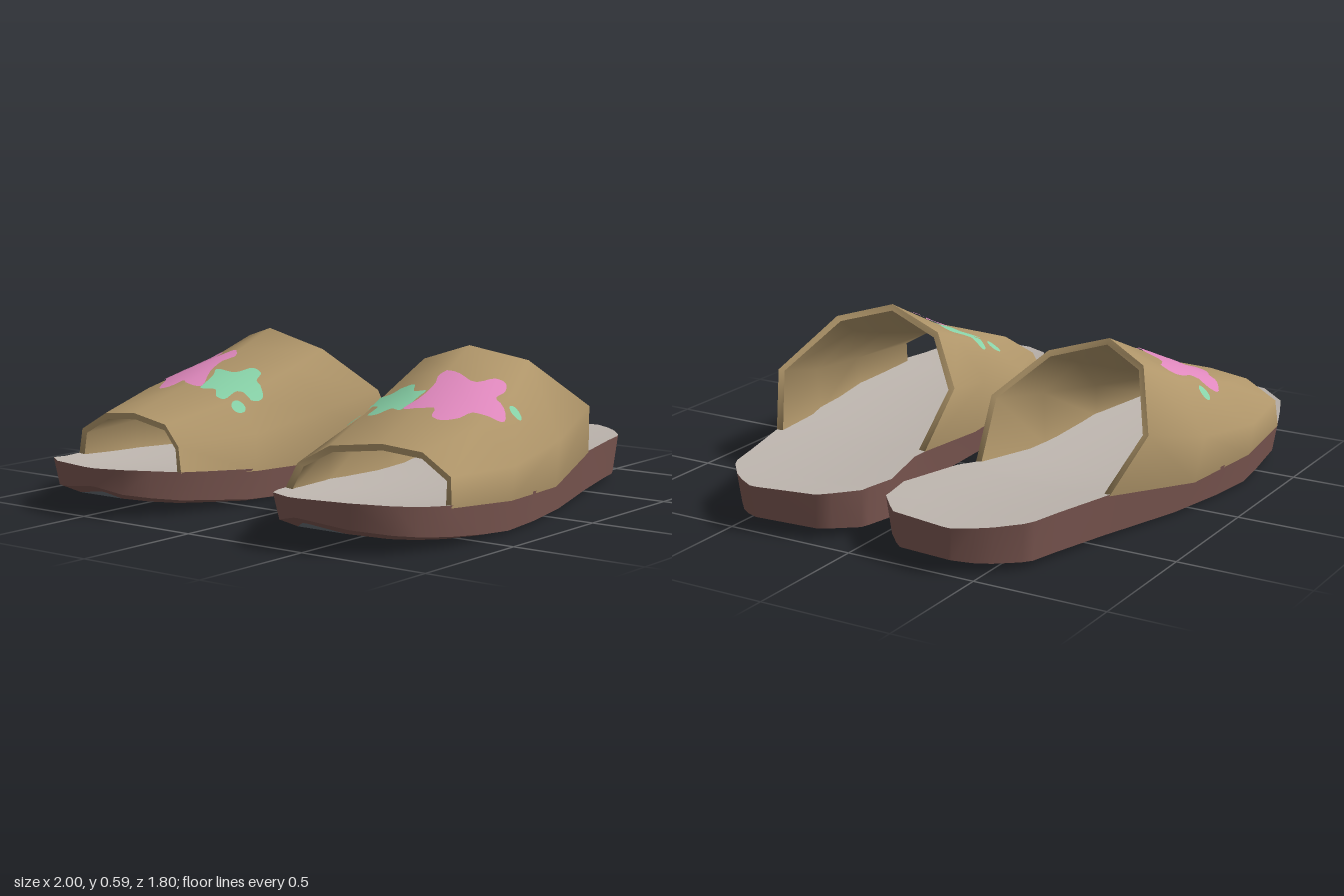
import * as THREE from 'three';

const V = (x, y, z) => new THREE.Vector3(x, y, z);
const mat = (name, color, side = THREE.FrontSide) => {
  const m = new THREE.MeshStandardMaterial({ color, side });
  m.name = name;
  return m;
};

// Skin between rows of points; closed joins each row's last point to its first
function loft(rows, closed = false) {
  const n = rows[0].length, index = [];
  for (let i = 0; i < rows.length - 1; i++) {
    for (let j = 0; j < (closed ? n : n - 1); j++) {
      const k = (j + 1) % n;
      const a = i * n + j, b = i * n + k, c = b + n, d = a + n;
      index.push(a, b, d, b, c, d);
    }
  }
  const g = new THREE.BufferGeometry().setFromPoints(rows.flat());
  g.setIndex(index);
  g.computeVertexNormals();
  return g;
}

function mirrorZ(source) {
  const g = source.clone();
  for (const name of ['position', 'normal']) {
    const a = g.attributes[name];
    for (let i = 0; i < a.count; i++) a.setZ(i, -a.getZ(i));
  }
  const ix = g.index.array;
  for (let i = 0; i < ix.length; i += 3) [ix[i], ix[i + 1]] = [ix[i + 1], ix[i]];
  return g;
}

// Piecewise linear value along the shoe
function heightAt(keys, x) {
  for (let i = 1; i < keys.length; i++) {
    const [x0, y0] = keys[i - 1], [x1, y1] = keys[i];
    if (x <= x1) return y0 + (y1 - y0) * (x - x0) / (x1 - x0);
  }
  return keys[keys.length - 1][1];
}

// Sole stations from toe to heel: x, inner z, outer z
const STATIONS = [
  [-1, 0.44, 0.49], [-0.96, 0.345, 0.67], [-0.87, 0.29, 0.78], [-0.77, 0.24, 0.82],
  [-0.66, 0.205, 0.86], [-0.48, 0.16, 0.875], [-0.34, 0.155, 0.885], [-0.15, 0.15, 0.86],
  [0.1, 0.14, 0.81], [0.34, 0.11, 0.74], [0.44, 0.09, 0.71], [0.69, 0.025, 0.645],
  [0.8, 0.045, 0.62], [0.84, 0.05, 0.6], [0.92, 0.12, 0.53], [0.96, 0.16, 0.48], [1, 0.385, 0.415],
];
const TOP = [[-1, 0.18], [-0.95, 0.178], [-0.77, 0.155], [-0.4, 0.13], [0, 0.117], [0.2, 0.135], [0.45, 0.17], [1, 0.17]];
const BOTTOM = [[-1, 0.085], [-0.95, 0.055], [-0.77, 0.03], [-0.4, 0], [0, 0.003], [0.8, 0.015], [0.95, 0.03], [1, 0.04]];
const EDGE = [[-1, 0.11], [-0.95, 0.08], [-0.77, 0.05], [-0.4, 0.012], [0, 0.01], [0.8, 0.022], [0.95, 0.036], [1, 0.05]];
const DISH = [[-1, 0], [-0.87, 0.02], [-0.6, 0.03], [0, 0.02], [0.8, 0.012], [1, 0]];

// Both edges of the sole outline, drawn in by d
function soleEdges(d, keys) {
  const edge = (side) => STATIONS.map(([x, zi, zo]) => {
    const inset = Math.min(d, (zo - zi) * 0.3);
    return V(x * (1 - d), heightAt(keys, x), side > 0 ? zo - inset : zi + inset);
  });
  return { outer: edge(1), inner: edge(-1) };
}
const loopOf = (e) => [...e.outer, ...[...e.inner].reverse()];

// Footbed rows across the width, sunk toward the middle
const footbedRows = (e) => [0, 0.2, 0.4, 0.6, 0.8, 1].map((t) => e.outer.map((p, i) => {
  const q = p.clone().lerp(e.inner[i], t);
  q.y -= heightAt(DISH, p.x) * 4 * t * (1 - t);
  return q;
}));

// Strap sections from the heel side to the toe side, each from outer foot over the top to inner foot
const STRAP = [
  [[0.44, 0.163, 0.71], [0.31, 0.36, 0.79], [0.1, 0.54, 0.66], [0, 0.59, 0.47], [0.04, 0.52, 0.24], [0.18, 0.36, 0.08], [0.34, 0.155, 0.11]],
  [[0.02, 0.108, 0.835], [0, 0.28, 0.86], [-0.08, 0.452, 0.72], [-0.15, 0.522, 0.49], [-0.13, 0.46, 0.26], [-0.1, 0.31, 0.12], [-0.07, 0.11, 0.143]],
  [[-0.34, 0.118, 0.885], [-0.34, 0.24, 0.9], [-0.37, 0.37, 0.77], [-0.4, 0.412, 0.53], [-0.4, 0.37, 0.3], [-0.45, 0.26, 0.16], [-0.46, 0.125, 0.155]],
  [[-0.66, 0.138, 0.86], [-0.65, 0.24, 0.85], [-0.645, 0.31, 0.73], [-0.66, 0.325, 0.57], [-0.7, 0.305, 0.38], [-0.745, 0.24, 0.275], [-0.77, 0.15, 0.24]],
].map((row) => row.map((p) => V(...p)));

// Loop around the border of a grid of points
const borderOf = (g) => [
  ...g[0], ...g.slice(1, -1).map((r) => r[r.length - 1]),
  ...[...g[g.length - 1]].reverse(), ...g.slice(1, -1).reverse().map((r) => r[0]),
];

// Painted shapes as x, z outlines seen from above
const STAR_LARGE = [
  [-0.43, 0.65], [-0.38, 0.69], [-0.33, 0.71], [-0.3, 0.76], [-0.25, 0.787], [-0.205, 0.76], [-0.185, 0.71], [-0.12, 0.705], [-0.075, 0.675],
  [-0.085, 0.635], [-0.16, 0.6], [-0.155, 0.53], [-0.19, 0.475], [-0.25, 0.5], [-0.32, 0.5], [-0.4, 0.47], [-0.41, 0.53], [-0.375, 0.585], [-0.425, 0.61],
];
const STAR_SMALL = [
  [-0.29, 0.49], [-0.265, 0.42], [-0.21, 0.38], [-0.215, 0.335], [-0.265, 0.315], [-0.3, 0.255], [-0.35, 0.27],
  [-0.36, 0.33], [-0.425, 0.335], [-0.425, 0.375], [-0.39, 0.41], [-0.41, 0.465], [-0.37, 0.475], [-0.32, 0.48],
];
const dot = (x, z, r) => Array.from({ length: 8 }, (_, i) => [x + r * Math.cos(-i * Math.PI / 4), z + r * Math.sin(-i * Math.PI / 4)]);

// Lay an outline on the strap surface as a thin skin that shares the strap's shading
function decal(outline, [cx, cz], target, lift) {
  const curve = new THREE.CatmullRomCurve3([...outline].reverse().map(([x, z]) => V(x, 0, z)), true);
  const edge = curve.getPoints(56).slice(0, -1);
  const ray = new THREE.Raycaster();
  const rows = [], normals = [];
  for (let k = 0; k <= 10; k++) {
    const s = Math.max(k / 10, 0.002);
    rows.push(edge.map((p) => {
      ray.set(V(cx + (p.x - cx) * s, 2, cz + (p.z - cz) * s), V(0, -1, 0));
      const hit = ray.intersectObject(target)[0];
      const normal = hit.normal.clone().normalize();
      normals.push(normal);
      return hit.point.clone().addScaledVector(normal, lift);
    }));
  }
  const g = loft(rows, true);
  normals.forEach((n, i) => g.attributes.normal.setXYZ(i, n.x, n.y, n.z));
  return g;
}

export function createModel() {
  const tan = mat('strap tan', 0xb0966a);
  const brown = mat('sole brown', 0x7a5650);
  const grey = mat('footbed grey', 0xbcb4ad);
  const slate = mat('outsole slate', 0x687077);
  const pink = mat('pink paint', 0xdf88bd);
  const mint = mat('mint paint', 0x88d2a8);

  // Sole
  const top = soleEdges(0, TOP);
  const low = soleEdges(0.015, EDGE);
  const base = soleEdges(0.06, BOTTOM);

  // Strap shell
  const outerSkin = loft(STRAP);
  const normals = outerSkin.attributes.normal;
  const inside = STRAP.map((row, i) => row.map((p, j) =>
    p.clone().addScaledVector(V(0, 0, 0).fromBufferAttribute(normals, i * row.length + j), -0.025)));
  const target = new THREE.Mesh(outerSkin, tan);

  const parts = [
    ['footbed', loft(footbedRows(top)), grey],
    ['soleSide', loft([loopOf(low), loopOf(top)], true), brown],
    ['soleRim', loft([loopOf(base), loopOf(low)], true), brown],
    ['outsole', loft([base.inner, base.outer]), slate],
    ['strapOuter', outerSkin, tan],
    ['strapLining', loft(inside.map((r) => [...r].reverse())), tan],
    ['strapEdge', loft([borderOf(inside), borderOf(STRAP)], true), tan],
    ['largeStar', decal(STAR_LARGE, [-0.26, 0.62], target, 0.006), pink],
    ['smallStar', decal(STAR_SMALL, [-0.32, 0.38], target, 0.005), mint],
    ['outerDot', decal(dot(-0.16, 0.775, 0.021), [-0.16, 0.775], target, 0.005), mint],
    ['innerDot', decal(dot(-0.42, 0.272, 0.026), [-0.42, 0.272], target, 0.005), mint],
  ];

  // Left and right sandals mirror each other
  const model = new THREE.Group();
  model.name = 'sandals';
  for (const side of [1, -1]) {
    const sandal = new THREE.Group();
    sandal.name = side > 0 ? 'frontSandal' : 'rearSandal';
    for (const [name, geometry, material] of parts) {
      const mesh = new THREE.Mesh(side > 0 ? geometry : mirrorZ(geometry), material);
      mesh.name = name;
      sandal.add(mesh);
    }
    model.add(sandal);
  }
  return model;
}
